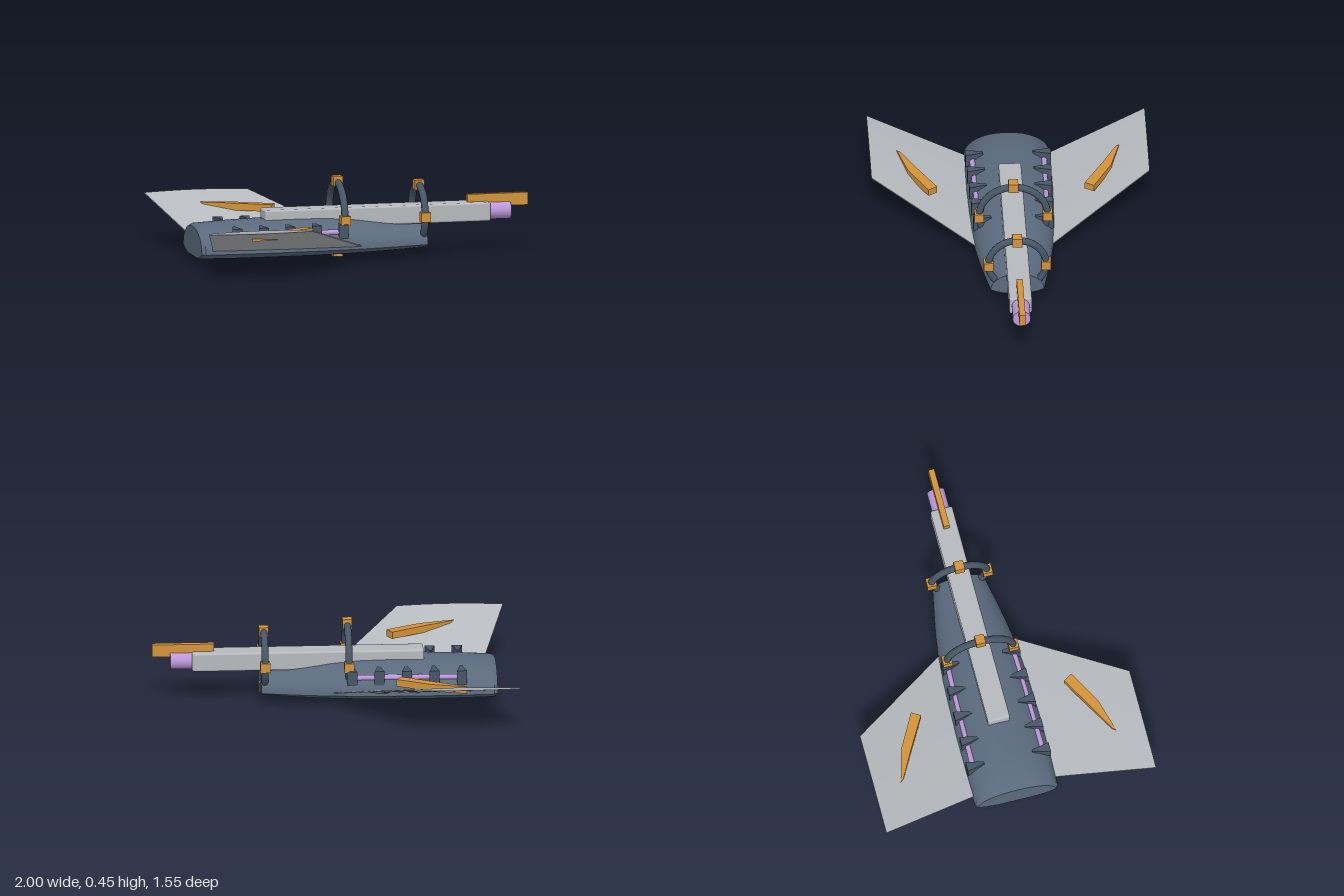
import * as THREE from 'three';
import { toCreasedNormals } from 'three/addons/utils/BufferGeometryUtils.js';
import { RoundedBoxGeometry } from 'three/addons/geometries/RoundedBoxGeometry.js';

const mat = (name, color) => {
  const m = new THREE.MeshStandardMaterial({ color });
  m.name = name;
  return m;
};

// Skin a list of closed rings of [x, y, z] points and cap both ends
function loft(rings, crease = 0.6) {
  const n = rings[0].length, pos = [];
  const tri = (a, b, c) => pos.push(...a, ...b, ...c);
  for (let i = 0; i < rings.length - 1; i++) {
    for (let j = 0; j < n; j++) {
      const k = (j + 1) % n;
      const a = rings[i][j], b = rings[i][k], c = rings[i + 1][j], d = rings[i + 1][k];
      tri(a, c, b);
      tri(b, c, d);
    }
  }
  const cap = (ring, flip) => {
    const mid = [0, 1, 2].map(q => ring.reduce((s, p) => s + p[q], 0) / n);
    ring.forEach((p, j) => {
      const r = ring[(j + 1) % n];
      if (flip) tri(mid, r, p); else tri(mid, p, r);
    });
  };
  cap(rings[0], false);
  cap(rings[rings.length - 1], true);
  const g = new THREE.BufferGeometry();
  g.setAttribute('position', new THREE.Float32BufferAttribute(pos, 3));
  return toCreasedNormals(g, crease);
}

// Mirrored copy across z = 0 with the corner order corrected
function mirrorZ(geo) {
  const g = geo.index ? geo.toNonIndexed() : geo.clone();
  g.scale(1, 1, -1);
  for (const attr of Object.values(g.attributes)) {
    const s = attr.itemSize, a = attr.array;
    for (let i = 0; i < a.length; i += 3 * s) {
      for (let q = 0; q < s; q++) {
        [a[i + s + q], a[i + 2 * s + q]] = [a[i + 2 * s + q], a[i + s + q]];
      }
    }
  }
  return g;
}

export function createModel() {
  const root = new THREE.Group();
  const hullBlue = mat('hull slate blue', 0x5a6a7d);
  const ringBlue = mat('ring dark slate', 0x485666);
  const grey = mat('light grey', 0xb6babe);
  const amber = mat('amber', 0xd4943a);
  const violet = mat('violet', 0xbf98dc);

  const add = (name, geo, material, x = 0, y = 0, z = 0) => {
    const m = new THREE.Mesh(geo, material);
    m.name = name;
    m.position.set(x, y, z);
    root.add(m);
    return m;
  };
  const pair = (name, geo, material) => {
    add(name + 'Left', geo, material);
    add(name + 'Right', mirrorZ(geo), material);
  };

  // Hull: domed top over a shallow chined belly; stations are x, half width, top, bottom
  const stations = [
    [-0.91, 0.222, 0.2, 0.036], [-0.89, 0.238, 0.212, 0.03], [-0.7, 0.244, 0.223, 0.028],
    [-0.5, 0.246, 0.23, 0.028], [-0.3, 0.24, 0.232, 0.028], [-0.15, 0.232, 0.229, 0.029],
    [0, 0.218, 0.217, 0.031], [0.13, 0.2, 0.198, 0.034], [0.26, 0.176, 0.181, 0.038],
    [0.4, 0.148, 0.172, 0.045],
  ];
  add('hull', loft(stations.map(([x, w, t, b]) => {
    const half = [[x, b, 0.5 * w], [x, b + 0.014, 0.83 * w]];
    for (let i = 0; i < 9; i++) {
      const a = (i / 9) * Math.PI / 2;
      half.push([x, 0.07 + (t - 0.07) * Math.sin(a), w * Math.cos(a) ** 0.9]);
    }
    const other = half.map(([px, py, pz]) => [px, py, -pz]).reverse();
    return [[x, b, 0], ...half, [x, t, 0], ...other];
  })), hullBlue);

  // Wings: thin lens sections from root to tip
  const wingRing = (x0, x1, y, z) => {
    const ring = [], steps = 8;
    for (let i = 0; i <= steps; i++) {
      const f = i / steps;
      ring.push([x0 + (x1 - x0) * f, y + 0.003 + 0.008 * Math.sin(Math.PI * f), z]);
    }
    for (let i = steps; i >= 0; i--) {
      const f = i / steps;
      ring.push([x0 + (x1 - x0) * f, y - 0.003 - 0.005 * Math.sin(Math.PI * f), z]);
    }
    return ring;
  };
  pair('wing', loft([wingRing(-0.84, 0.015, 0.082, 0.2), wingRing(-1, -0.41, 0.272, 0.773)]), grey);

  // Wing blades: slanted pointed prisms set into the wings
  const plan = [[-0.715, 0.618], [-0.7, 0.598], [-0.545, 0.515], [-0.362, 0.41],
    [-0.332, 0.46], [-0.525, 0.565]];
  const bladeShape = new THREE.Shape(plan.map(([x, z]) => new THREE.Vector2(x, -z)));
  const blade = new THREE.ExtrudeGeometry(bladeShape, { depth: 0.04, bevelEnabled: false });
  blade.rotateX(-Math.PI / 2).translate(0, 0.197, 0);
  pair('wingBlade', blade, amber);

  // Side rails
  const railPath = new THREE.LineCurve3(
    new THREE.Vector3(-0.71, 0.165, 0.2), new THREE.Vector3(-0.1, 0.165, 0.188));
  pair('sideRail', new THREE.TubeGeometry(railPath, 1, 0.016, 10), violet);

  // Ribs: wedges over the rails, narrowing inwards
  for (let i = 0; i < 5; i++) {
    const x = -0.71 + i * 0.1525, z = 0.238 - i * 0.004;
    const rect = (hw, y0, y1, rz) =>
      [[x - hw, y0, rz], [x - hw, y1, rz], [x + hw, y1, rz], [x + hw, y0, rz]];
    pair('rib' + (i + 1), loft([rect(0.006, 0.19, 0.212, z - 0.1), rect(0.028, 0.13, 0.21, z)], 0.2), ringBlue);
  }

  // Barrel with rounded edges, muzzle and sight
  const axisY = 0.228;
  add('barrel', new RoundedBoxGeometry(1.29, 0.106, 0.126, 2, 0.012), grey, 0.135, axisY, 0);
  const muzzle = new THREE.CylinderGeometry(0.05, 0.05, 0.14, 24).rotateZ(Math.PI / 2);
  add('muzzle', muzzle, violet, 0.83, axisY, 0);
  add('sight', new THREE.BoxGeometry(0.345, 0.07, 0.034), amber, 0.8275, 0.288, 0);

  // Support rings with four clamps each
  [[-0.085, 0.19, 0.198], [0.38, 0.16, 0.16]].forEach(([x, radius, clampRadius], i) => {
    const ring = new THREE.TorusGeometry(radius, 0.02, 10, 36).rotateY(Math.PI / 2);
    add('ring' + (i + 1), ring, ringBlue, x, axisY, 0);
    for (let k = 0; k < 4; k++) {
      const a = k * Math.PI / 2;
      const r = k % 2 ? clampRadius : radius;
      add('ringClamp' + (i + 1) + (k + 1), new THREE.BoxGeometry(0.054, 0.054, 0.054), amber,
        x, axisY + r * Math.sin(a), r * Math.cos(a));
    }
  });

  return root;
}
